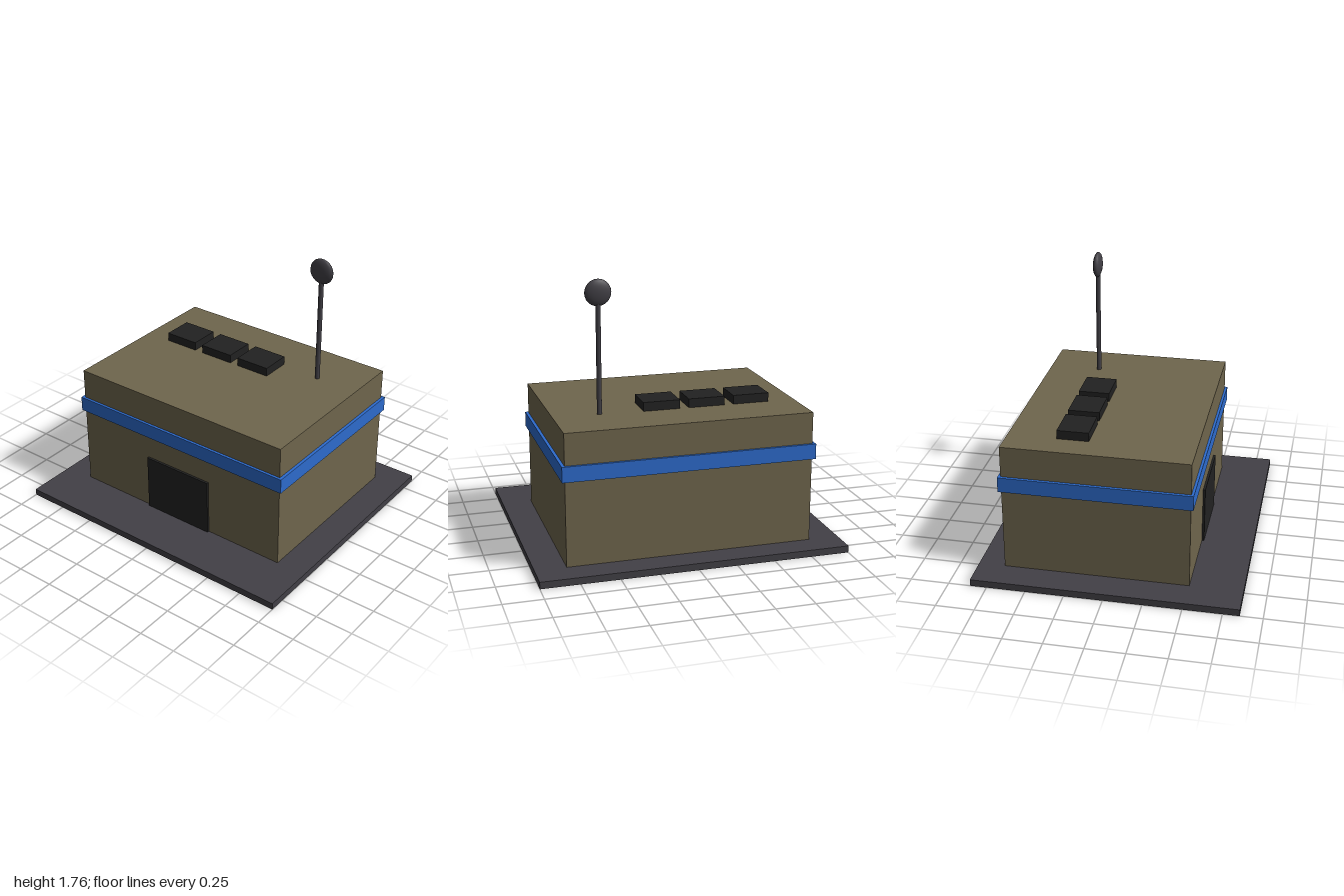
import * as THREE from 'three';

export function createModel() {
  const model = new THREE.Group();
  model.name = 'outpostBuilding';

  const material = (name, color) => {
    const m = new THREE.MeshStandardMaterial({ color });
    m.name = name;
    return m;
  };
  const slate = material('slate grey', 0x424046);
  const olive = material('olive wall', 0x6f664d);
  const blue = material('blue trim', 0x2d6bcd);
  const black = material('charcoal', 0x222222);

  const add = (name, geometry, mat, x, y, z) => {
    const mesh = new THREE.Mesh(geometry, mat);
    mesh.name = name;
    mesh.position.set(x, y, z);
    model.add(mesh);
    return mesh;
  };
  // Box standing on the height y
  const box = (name, mat, w, h, d, x, y, z) =>
    add(name, new THREE.BoxGeometry(w, h, d), mat, x, y + h / 2, z);

  const bodyZ = -0.085;

  // Ground slab, main block and the band around it
  box('baseSlab', slate, 2, 0.045, 1.714, 0, 0, 0);
  box('mainBlock', olive, 1.6, 0.857, 1.2, 0, 0.045, bodyZ);
  box('trimBand', blue, 1.64, 0.1, 1.234, 0, 0.597, bodyZ);

  // Front door
  box('door', black, 0.5, 0.387, 0.02, 0, 0.045, 0.52);

  // Row of roof vents
  for (let i = 0; i < 3; i++) {
    box(`roofVent${i + 1}`, black, 0.24, 0.06, 0.206, -0.5 + i * 0.3, 0.9, -0.262);
  }

  // Antenna mast with a flattened dish
  add('antennaMast', new THREE.CylinderGeometry(0.016, 0.016, 0.74, 12), slate, 0.5, 1.27, -0.343);
  add('antennaDish', new THREE.SphereGeometry(0.085, 16, 12), slate, 0.5, 1.673, -0.343)
    .scale.set(1, 1, 0.35);

  return model;
}
